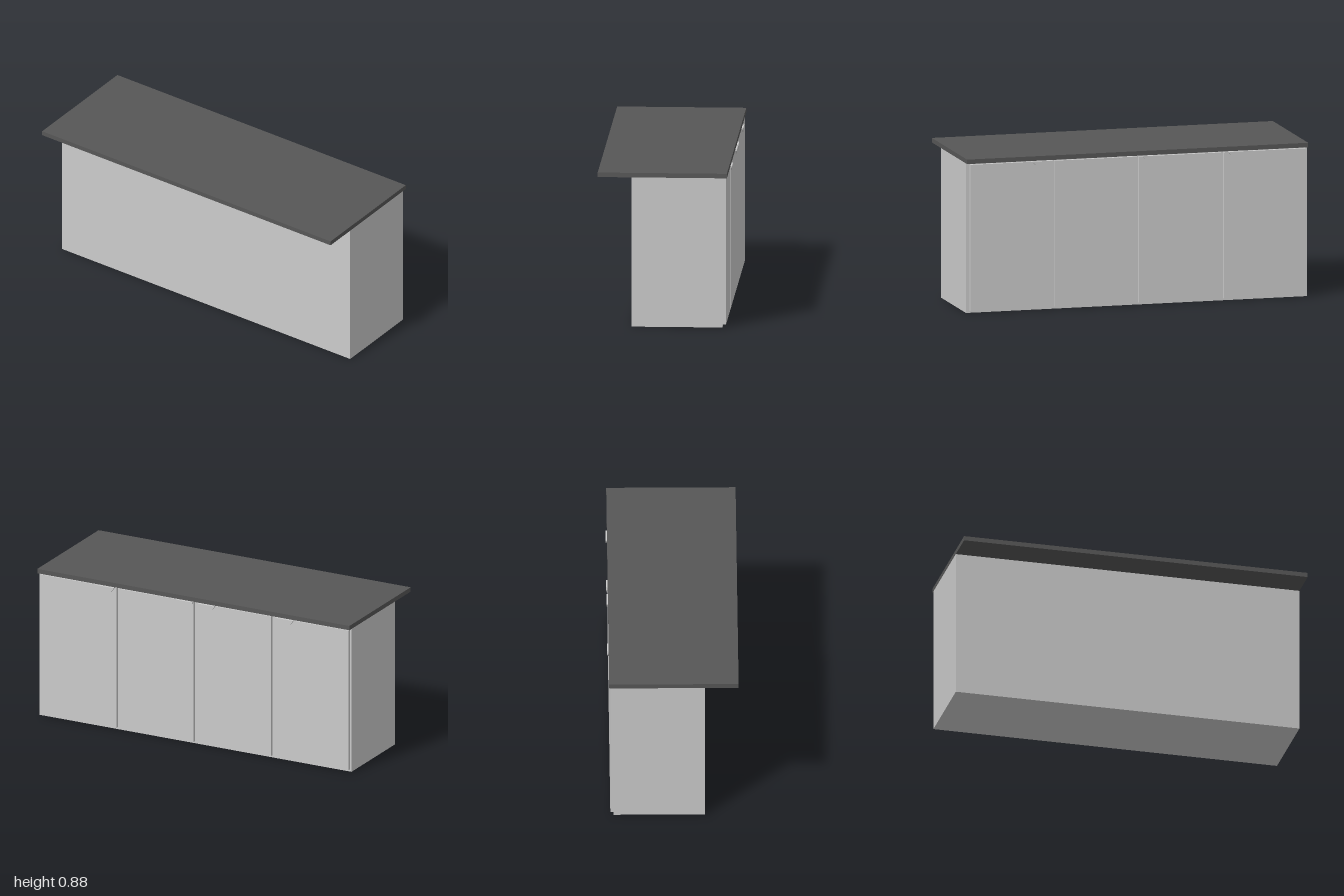
import * as THREE from 'three';

const grey = new THREE.MeshStandardMaterial({ color: 0xcccccc });
const dark = new THREE.MeshStandardMaterial({ color: 0x575757 });

// Box given by its minimum and maximum corners
function box(name, [x0, y0, z0], [x1, y1, z1], material = grey) {
  const mesh = new THREE.Mesh(new THREE.BoxGeometry(x1 - x0, y1 - y0, z1 - z0), material);
  mesh.position.set((x0 + x1) / 2, (y0 + y1) / 2, (z0 + z1) / 2);
  mesh.name = name;
  return mesh;
}

// Edge pull: a flat plate over the door's top edge with a tapered lip hanging in front
function edgePull(z) {
  const pull = new THREE.Group();
  pull.name = 'edgePull';
  const half = 0.052;
  pull.add(box('pullPlate', [0.338, 0.849, -half], [0.362, 0.854, half]));

  const outline = new THREE.Shape();
  outline.moveTo(-half, 0.854);
  outline.lineTo(-half, 0.846);
  outline.lineTo(-half + 0.016, 0.828);
  outline.lineTo(half - 0.016, 0.828);
  outline.lineTo(half, 0.846);
  outline.lineTo(half, 0.854);
  const lip = new THREE.Mesh(
    new THREE.ExtrudeGeometry(outline, { depth: 0.007, bevelEnabled: false }), grey);
  lip.rotation.y = Math.PI / 2;
  lip.position.x = 0.361;
  lip.name = 'pullLip';
  pull.add(lip);

  pull.position.z = z;
  return pull;
}

export function createModel() {
  const model = new THREE.Group();
  model.name = 'kitchenIsland';

  // Cabinet body and overhanging worktop
  model.add(box('cabinetBody', [-0.18, 0, -1], [0.335, 0.857, 1]));
  model.add(box('worktop', [-0.37, 0.857, -1], [0.36, 0.883, 1], dark));

  // Four doors along the +x side
  const doorWidth = 0.484;
  for (const z of [0.738, 0.243, -0.251, -0.749]) {
    model.add(box('door', [0.335, 0.013, z - doorWidth / 2], [0.354, 0.851, z + doorWidth / 2]));
  }

  // One pull per door
  for (const z of [0.56, 0.055, -0.085, -0.588]) model.add(edgePull(z));

  return model;
}
